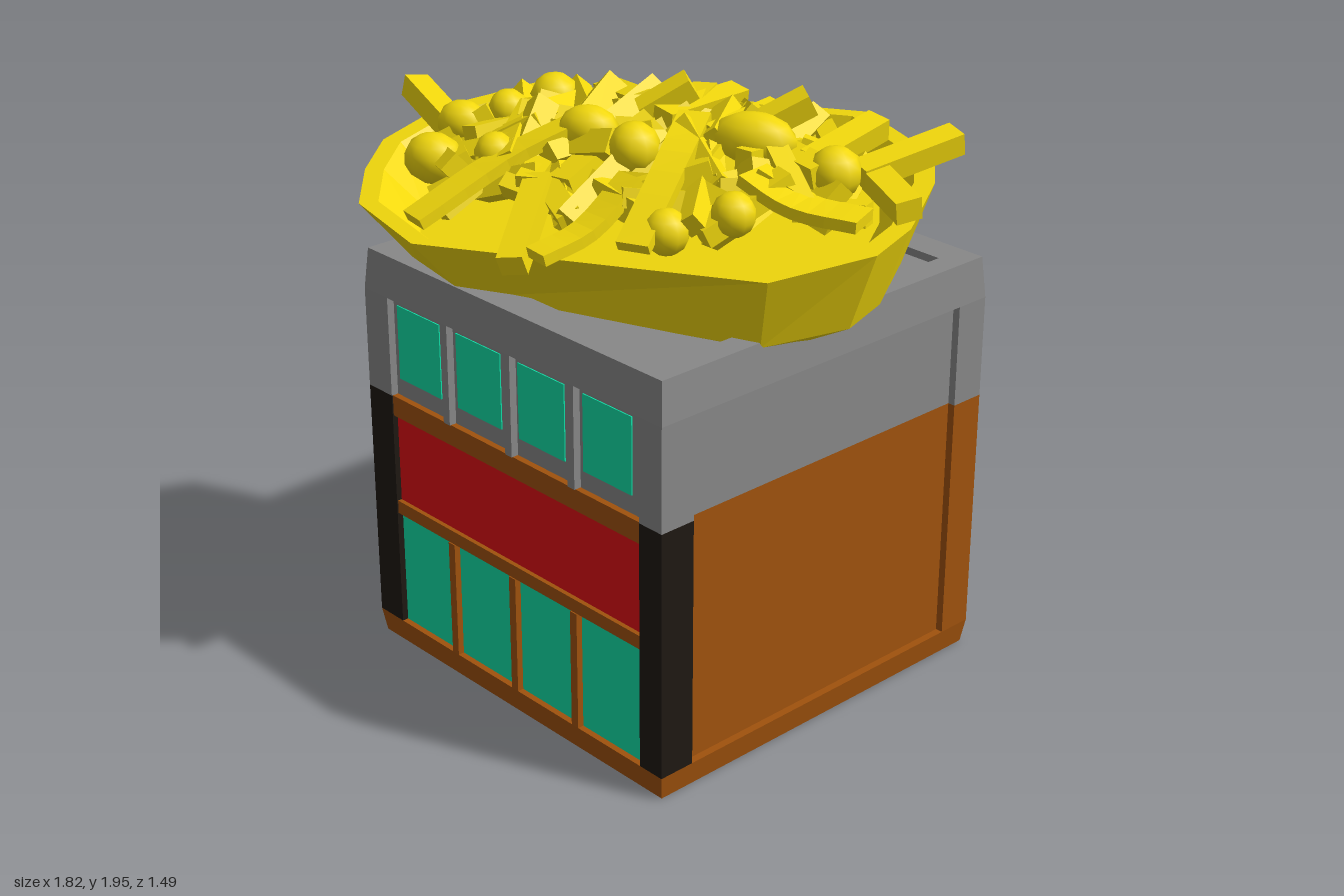
import * as THREE from 'three';

const mat = (color) => new THREE.MeshStandardMaterial({ color, flatShading: true });
const GREY = mat(0x888888), BROWN = mat(0xa0520d), BLACK = mat(0x1e1812);
const RED = mat(0xe00f14), TEAL = mat(0x10e0a8), YELLOW = mat(0xf2d80c);
const YELLOW_SMOOTH = new THREE.MeshStandardMaterial({ color: 0xf2d80c });

// Building limits, frame opening limits and the height where the colour changes
const X = 0.685, ZB = -0.75, ZF = 0.62, TOP = 1.37, SPLIT = 0.9;
const OX0 = -0.57, OX1 = 0.59, OY0 = 0.08, OY1 = 1.235, OZ0 = -0.63, OZ1 = 0.495, DEEP = 0.025;
const BARS = [-0.29, 0.008, 0.295], BAR = 0.03;

// Box between two corners; outer top and bottom edges are drawn in slightly
function block(parent, name, material, x0, x1, y0, y1, z0, z1) {
  const geo = new THREE.BoxGeometry(x1 - x0, y1 - y0, z1 - z0);
  geo.translate((x0 + x1) / 2, (y0 + y1) / 2, (z0 + z1) / 2);
  const p = geo.attributes.position;
  for (let i = 0; i < p.count; i++) {
    const x = p.getX(i), y = p.getY(i), z = p.getZ(i);
    if (y > 0.001 && y < TOP - 0.001) continue;
    if (Math.abs(x) > X - 0.001) p.setX(i, x - Math.sign(x) * 0.012);
    if (z > ZF - 0.001 || z < ZB + 0.001) p.setZ(i, z - Math.sign(z) * 0.012);
  }
  geo.computeVertexNormals();
  const mesh = new THREE.Mesh(geo, material);
  mesh.name = name;
  parent.add(mesh);
}

function buildBuilding() {
  const g = new THREE.Group();
  g.name = 'building';
  const zf = ZF - DEEP;
  // Recessed walls, floor and roof
  block(g, 'lowerWalls', BROWN, -X + DEEP, X - DEEP, DEEP, SPLIT, ZB + DEEP, zf);
  block(g, 'upperWalls', GREY, -X + DEEP, X - DEEP, SPLIT, TOP - DEEP, ZB + DEEP, zf);
  // Top and bottom rims
  for (const [name, m, y0, y1] of [['baseRim', BROWN, 0, OY0], ['roofRim', GREY, OY1, TOP]]) {
    block(g, name, m, -X, X, y0, y1, OZ1, ZF);
    block(g, name, m, -X, X, y0, y1, ZB, OZ0);
    block(g, name, m, -X, OX0, y0, y1, OZ0, OZ1);
    block(g, name, m, OX1, X, y0, y1, OZ0, OZ1);
  }
  // Corner posts
  for (const [x0, x1] of [[-X, OX0], [OX1, X]]) {
    block(g, 'frontPost', BLACK, x0, x1, OY0, SPLIT, OZ1, ZF);
    block(g, 'backPost', BROWN, x0, x1, OY0, SPLIT, ZB, OZ0);
    block(g, 'upperFrontPost', GREY, x0, x1, SPLIT, OY1, OZ1, ZF);
    block(g, 'upperBackPost', GREY, x0, x1, SPLIT, OY1, ZB, OZ0);
  }
  // Dividing bars on the front, back and underside
  for (const x of BARS) {
    const a = x - BAR / 2, b = x + BAR / 2;
    block(g, 'frontBar', BROWN, a, b, OY0, 0.48, zf, ZF);
    block(g, 'upperFrontBar', GREY, a, b, SPLIT, OY1, zf, ZF);
    block(g, 'backBar', BROWN, a, b, OY0, SPLIT, ZB, ZB + DEEP);
    block(g, 'upperBackBar', GREY, a, b, SPLIT, OY1, ZB, ZB + DEEP);
    block(g, 'floorBar', BROWN, a, b, 0.002, DEEP, OZ0, OZ1);
  }
  // Shop front
  block(g, 'lowerBand', BROWN, OX0, OX1, 0.48, 0.525, zf, ZF - 0.004);
  block(g, 'upperBand', BROWN, OX0, OX1, 0.83, SPLIT, zf, ZF - 0.004);
  block(g, 'signPanel', RED, OX0, OX1, 0.525, 0.83, zf, zf + 0.006);
  block(g, 'lowerWindows', TEAL, OX0, OX1, OY0, 0.48, zf, zf + 0.004);
  for (let i = 0; i < 4; i++) {
    const x = -0.445 + i * 0.292;
    block(g, 'upperWindow', TEAL, x - 0.105, x + 0.105, 0.96, 1.21, zf, zf + 0.004);
  }
  return g;
}

// Tray rim: a tilted plane and an outline (x, z)
const rimY = (x, z) => 1.7 - 0.065 * x - 0.245 * z;
const CX = 0.04, CZ = 0.1;
const RIM = [[-0.66, -0.07], [0.36, -0.535], [0.69, -0.47], [0.79, -0.36], [0.89, -0.15], [0.9, 0],
  [0.74, 0.27], [-0.27, 0.74], [-0.58, 0.7], [-0.72, 0.57], [-0.81, 0.43], [-0.81, 0.2]];

// Tray skin: rings from the outer bottom, over the rim, to the inner floor
function buildTray() {
  // scale, scale of the front half in z, offset from the rim plane
  const rings = [[0.001, 0.001, -0.36], [0.68, 0.5, -0.36], [0.9, 0.73, -0.25], [1, 1, 0],
    [0.93, 0.93, 0], [0.82, 0.76, -0.13], [0.001, 0.001, -0.13]];
  const pos = [], idx = [], n = RIM.length;
  for (const [s, sf, dy] of rings) for (const [x, z] of RIM) {
    const px = CX + (x - CX) * s, pz = CZ + (z - CZ) * (z > CZ ? sf : s);
    pos.push(px, rimY(px, pz) + dy, pz);
  }
  for (let r = 0; r < rings.length - 1; r++) for (let i = 0; i < n; i++) {
    const a = r * n + i, b = r * n + (i + 1) % n;
    idx.push(a, a + n, b, b, a + n, b + n);
  }
  const geo = new THREE.BufferGeometry();
  geo.setAttribute('position', new THREE.Float32BufferAttribute(pos, 3));
  geo.setIndex(idx);
  geo.computeVertexNormals();
  const mesh = new THREE.Mesh(geo, YELLOW);
  mesh.name = 'tray';
  return mesh;
}

// Point on the heap, which domes over the tray's diagonal long axis
const AX = 0.908, AZ = -0.419;
function heap(x, z, lift = 0) {
  const u = ((x - CX) * AX + (z - CZ) * AZ) / 0.75, v = ((z - CZ) * AX - (x - CX) * AZ) / 0.38;
  return new THREE.Vector3(x, rimY(x, z) + 0.03 + 0.11 * Math.max(0, 1 - u * u - v * v) + lift, z);
}

// Straight piece between two points, turned about its length
function fry(parent, a, b, w, h, roll) {
  const mesh = new THREE.Mesh(new THREE.BoxGeometry(w, h, a.distanceTo(b)), YELLOW);
  mesh.name = 'fry';
  mesh.position.copy(a).lerp(b, 0.5);
  mesh.lookAt(b);
  mesh.rotateZ(roll);
  parent.add(mesh);
}

// Flat bent strip: a box whose length follows a curve over the heap
function strip(parent, w, ...points) {
  const curve = new THREE.CatmullRomCurve3(points.map(([x, z]) => heap(x, z, 0.03)));
  const geo = new THREE.BoxGeometry(w, 0.035, 1, 1, 1, 8);
  const p = geo.attributes.position, up = new THREE.Vector3(0, 1, 0);
  for (let i = 0; i < p.count; i++) {
    const t = p.getZ(i) + 0.5, dir = curve.getTangent(t);
    const side = up.clone().cross(dir).normalize();
    const v = curve.getPoint(t).addScaledVector(side, p.getX(i)).addScaledVector(dir.cross(side), p.getY(i));
    p.setXYZ(i, v.x, v.y, v.z);
  }
  geo.computeVertexNormals();
  const mesh = new THREE.Mesh(geo, YELLOW);
  mesh.name = 'bentStrip';
  parent.add(mesh);
}

function buildFood() {
  const g = new THREE.Group();
  g.name = 'food';
  let seed = 11;
  const rnd = () => (seed = (seed * 16807) % 2147483647) / 2147483647;

  // Loose filling, spread in a spiral over the tray
  for (let i = 0; i < 100; i++) {
    const r = Math.sqrt((i + 0.5) / 100), t = i * 2.4;
    const u = Math.cos(t) * r * 0.67, v = Math.sin(t) * r * 0.3 - 0.01;
    const x = CX + u * AX - v * AZ, z = CZ + u * AZ + v * AX;
    const ang = rnd() * Math.PI, len = 0.08 + rnd() * 0.06;
    const dx = Math.cos(ang) * len, dz = Math.sin(ang) * len;
    const lift = -0.07 + rnd() * 0.08, tilt = (rnd() - 0.5) * 0.09;
    fry(g, heap(x - dx, z - dz, lift - tilt), heap(x + dx, z + dz, lift + tilt),
      0.055 + rnd() * 0.03, 0.05 + rnd() * 0.03, rnd());
  }
  // Pieces that stick out: start x, z, end x, z, rise of the end
  for (const [x0, z0, x1, z1, rise] of [
    [0.64, -0.2, 0.73, -0.52, 0.01], [-0.6, 0.31, -0.9, 0.23, 0.03],
    [0.52, -0.12, 0.51, -0.42, 0.03], [0.04, 0.02, 0.04, -0.3, 0.03],
    [-0.08, 0.4, 0.11, 0.67, 0], [-0.38, -0.13, -0.12, -0.04, 0],
    [0.28, -0.12, 0.38, -0.26, 0.1], [-0.05, 0.02, 0.04, -0.1, 0.08],
    [0.66, -0.24, 0.88, -0.15, 0.02], [0.24, 0, 0.24, -0.27, 0.02],
  ]) fry(g, heap(x0, z0), heap(x1, z1, rise), 0.08, 0.07, 0.15);

  // Bent strips lying over the heap
  strip(g, 0.1, [0.14, -0.02], [0.24, 0.15], [0.37, 0.44]);
  strip(g, 0.1, [-0.13, 0.18], [-0.23, 0.42], [-0.28, 0.72]);
  strip(g, 0.09, [0.19, 0.28], [0.19, 0.46], [0.17, 0.63]);
  strip(g, 0.13, [0.46, 0.06], [0.64, 0.04], [0.82, -0.03]);

  // Rounded lumps: x, z, radius, stretch
  for (const [x, z, r, stretch] of [
    [-0.455, 0.02, 0.08, 1], [-0.49, 0.18, 0.065, 1], [-0.58, 0.29, 0.07, 1.2],
    [-0.5, 0.47, 0.08, 1.2], [-0.3, 0.39, 0.065, 1], [-0.1, 0.19, 0.075, 1.3],
    [0.09, 0.18, 0.08, 1], [0.34, -0.07, 0.085, 1.6], [0.6, -0.14, 0.08, 1],
    [0.5, 0.17, 0.068, 1], [0.38, 0.32, 0.07, 1],
  ]) {
    const lump = new THREE.Mesh(new THREE.SphereGeometry(r, 10, 7), YELLOW_SMOOTH);
    lump.name = 'lump';
    lump.scale.x = stretch;
    lump.rotation.y = 0.4;
    lump.position.copy(heap(x, z, 0.01));
    g.add(lump);
  }
  return g;
}

export function createModel() {
  const model = new THREE.Group();
  model.name = 'foodShop';
  model.add(buildBuilding(), buildTray(), buildFood());
  return model;
}
